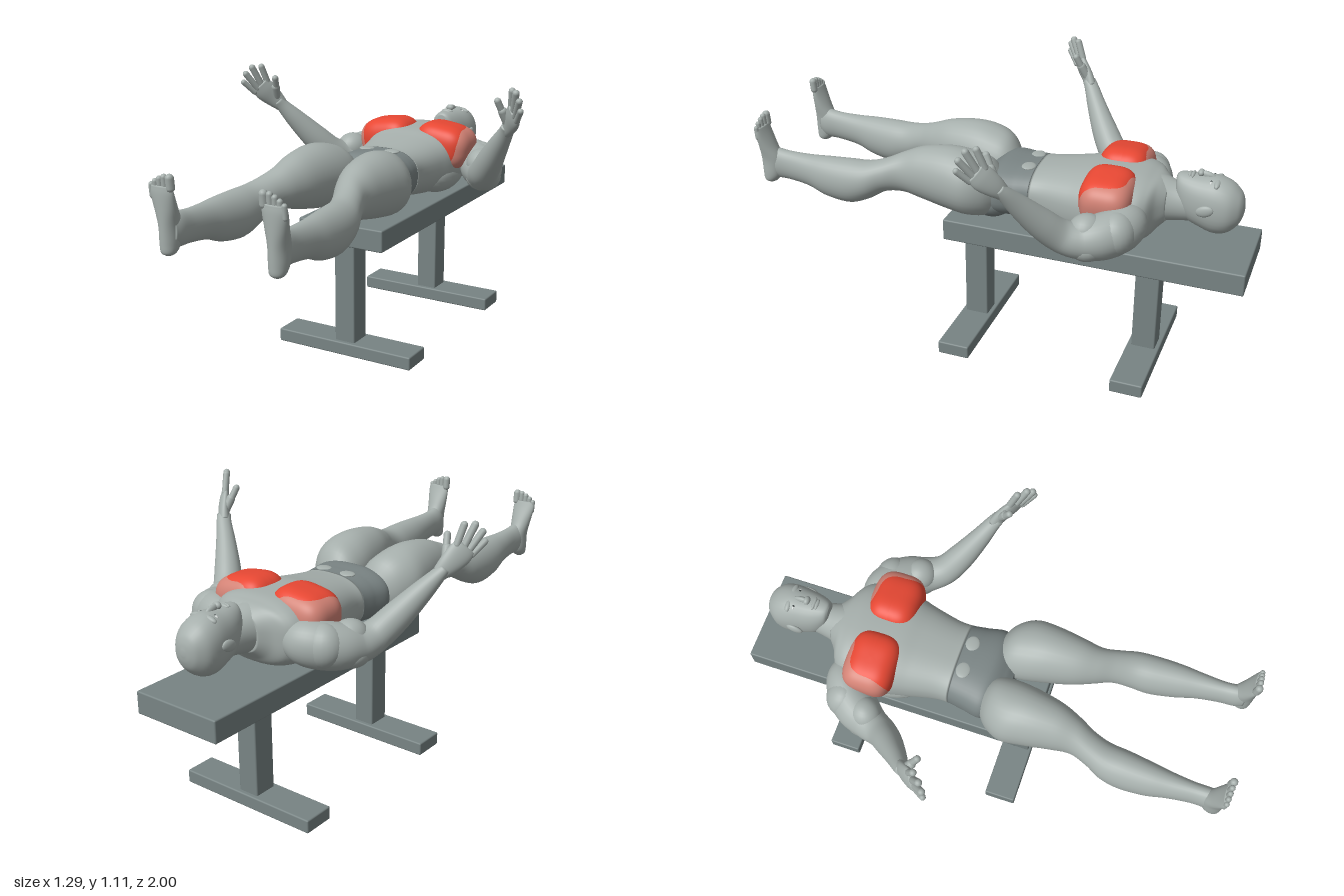
import * as THREE from 'three';
import { RoundedBoxGeometry } from 'three/addons/geometries/RoundedBoxGeometry.js';

const V = (x, y, z) => new THREE.Vector3(x, y, z);
const mat = (name, color) => Object.assign(new THREE.MeshStandardMaterial({ color }), { name });

export function createModel() {
  const skin = mat('skin grey', 0xa6afac);
  const benchGrey = mat('bench grey', 0x788484);
  const shortsGrey = mat('shorts grey', 0x7a8484);
  const red = mat('chest red', 0xee4a35);
  const pink = mat('chest pink', 0xd28275);
  const eyeWhite = mat('eye white', 0xd0d5d3);
  const eyeDark = mat('eye dark', 0x3a4242);

  const model = new THREE.Group();
  model.name = 'benchExercise';

  const add = (parent, name, geometry, material) => {
    const m = new THREE.Mesh(geometry, material);
    m.name = name;
    parent.add(m);
    return m;
  };

  // Smooth skin through elliptical sections [x, y, z, radiusSide, radiusUp]
  function loft(rows, { up = V(0, 1, 0), axis = null, from = 0, to = 1, power = 2, sides = 32 } = {}) {
    const path = new THREE.CatmullRomCurve3(rows.map(r => V(r[0], r[1], r[2])), false, 'catmullrom', 0.5);
    const size = new THREE.CatmullRomCurve3(rows.map(r => V(r[3], r[4], 0)), false, 'catmullrom', 0.5);
    const pos = [], index = [], steps = rows.length * 5;
    const bend = v => Math.sign(v) * Math.abs(v) ** (2 / power);
    for (let i = -1; i <= steps + 1; i++) {
      const t = from + (to - from) * THREE.MathUtils.clamp(i / steps, 0, 1);
      const c = path.getPoint(t), r = size.getPoint(t);
      const cap = i < 0 || i > steps ? 0 : 1;
      const tan = axis || path.getTangent(t);
      const side = V().crossVectors(up, tan).normalize();
      const rise = V().crossVectors(tan, side).normalize();
      for (let j = 0; j < sides; j++) {
        const a = j / sides * Math.PI * 2;
        const p = c.clone().addScaledVector(side, cap * r.x * bend(Math.cos(a)))
          .addScaledVector(rise, cap * r.y * bend(Math.sin(a)));
        pos.push(p.x, p.y, p.z);
      }
    }
    for (let i = 0; i < steps + 2; i++) for (let j = 0; j < sides; j++) {
      const k = (j + 1) % sides, a = i * sides, b = a + sides;
      index.push(a + j, a + k, b + k, a + j, b + k, b + j);
    }
    const g = new THREE.BufferGeometry();
    g.setAttribute('position', new THREE.Float32BufferAttribute(pos, 3));
    g.setIndex(index);
    g.computeVertexNormals();
    return g;
  }

  // Sections along increasing z, given as [z, centreX, halfWidth, top, bottom]
  const along = (rows, opt = {}) => loft(
    rows.map(([z, x, w, top, bot]) => [x, (top + bot) / 2, z, w, (top - bot) / 2]), { axis: V(0, 0, 1), ...opt });

  const blob = (parent, name, p, r, material = skin, rot = [0, 0, 0]) => {
    const m = add(parent, name, new THREE.SphereGeometry(1, 24, 16), material);
    m.position.set(...p);
    m.scale.set(...r);
    m.rotation.set(...rot);
  };
  const digit = (parent, name, a, b, r) => {
    const p = V(...a), q = V(...b), d = q.clone().sub(p);
    const m = add(parent, name, new THREE.CapsuleGeometry(r, d.length() - r, 5, 10), skin);
    m.position.copy(p.lerp(q, 0.5));
    m.quaternion.setFromUnitVectors(V(0, 1, 0), d.normalize());
  };

  // Bench
  const bench = new THREE.Group();
  bench.name = 'bench';
  model.add(bench);
  const box = (name, w, h, d, y, z) =>
    add(bench, name, new RoundedBoxGeometry(w, h, d, 2, 0.006), benchGrey).position.set(0, y, z);
  box('benchTop', 0.38, 0.09, 1.21, 0.52, -0.395);
  for (const z of [0.128, -0.605]) {
    box('benchPost', 0.09, 0.46, 0.098, 0.265, z);
    box('benchFoot', 0.615, 0.055, 0.132, 0.0275, z);
  }

  // Torso and shorts share one run of sections
  const body = new THREE.Group();
  body.name = 'figure';
  model.add(body);
  const trunk = [
    [-0.66, 0, 0.08, 0.80, 0.65], [-0.63, 0, 0.12, 0.82, 0.62], [-0.60, 0, 0.18, 0.83, 0.59],
    [-0.55, 0, 0.212, 0.84, 0.573], [-0.45, 0, 0.218, 0.84, 0.567], [-0.37, 0, 0.205, 0.837, 0.567],
    [-0.30, 0, 0.187, 0.825, 0.57], [-0.20, 0, 0.165, 0.81, 0.585], [-0.14, 0, 0.163, 0.803, 0.594],
    [-0.08, 0, 0.172, 0.803, 0.59], [0, 0, 0.183, 0.80, 0.59], [0.05, 0, 0.13, 0.77, 0.61], [0.08, 0, 0.05, 0.74, 0.64]];
  const waist = 8 / 12;
  add(body, 'torso', along(trunk, { to: waist, power: 2.5, sides: 48 }), skin);
  add(body, 'shorts', along(trunk, { from: waist, power: 2.5, sides: 48 }), shortsGrey);
  add(body, 'neck', along([[-0.76, 0, 0.058, 0.79, 0.66], [-0.69, 0, 0.07, 0.805, 0.65],
    [-0.64, 0, 0.085, 0.82, 0.64], [-0.59, 0, 0.11, 0.83, 0.63]]), skin);

  // Head, face up
  const head = new THREE.Group();
  head.name = 'head';
  body.add(head);
  add(head, 'skull', along([
    [-0.946, 0, 0.008, 0.75, 0.73], [-0.94, 0, 0.034, 0.78, 0.70], [-0.925, 0, 0.057, 0.808, 0.67],
    [-0.89, 0, 0.081, 0.838, 0.638], [-0.84, 0, 0.087, 0.855, 0.627], [-0.78, 0, 0.079, 0.853, 0.645],
    [-0.73, 0, 0.066, 0.853, 0.67], [-0.695, 0, 0.045, 0.85, 0.73], [-0.683, 0, 0.022, 0.84, 0.78]], { power: 2.2 }), skin);
  blob(head, 'noseBridge', [0, 0.854, -0.795], [0.011, 0.016, 0.034], skin, [-0.2, 0, 0]);
  blob(head, 'noseTip', [0, 0.861, -0.772], [0.018, 0.014, 0.013]);
  blob(head, 'upperLip', [0, 0.85, -0.743], [0.027, 0.009, 0.008]);
  blob(head, 'lowerLip', [0, 0.849, -0.731], [0.023, 0.009, 0.008]);

  // Squared, domed chest muscle
  const chest = new THREE.SphereGeometry(1, 64, 40);
  const p = chest.attributes.position;
  const square = (v, power) => Math.sign(v) * Math.abs(v) ** power;
  for (let i = 0; i < p.count; i++)
    p.setXYZ(i, square(p.getX(i), 0.62) * 0.12, square(p.getY(i), 0.8) * 0.092, square(p.getZ(i), 0.62) * 0.102);
  chest.computeVertexNormals();

  for (const s of [1, -1]) {
    const label = s > 0 ? 'left' : 'right';
    const half = new THREE.Group();
    half.name = label + 'Side';
    half.scale.x = s;
    body.add(half);

    // Face and ear
    blob(half, 'brow', [0.035, 0.84, -0.84], [0.027, 0.011, 0.012], skin, [0, 0, -0.25]);
    blob(half, 'eye', [0.034, 0.842, -0.817], [0.014, 0.007, 0.006], eyeWhite, [0, 0, -0.2]);
    blob(half, 'iris', [0.034, 0.846, -0.817], [0.005, 0.004, 0.005], eyeDark, [0, 0, -0.2]);
    blob(half, 'ear', [0.087, 0.745, -0.81], [0.011, 0.022, 0.034], skin, [0.3, 0, 0]);

    // Chest muscle with a faded upper outer rim
    [['chestMuscle', red, 0.13, 0.772, -0.452], ['chestFade', pink, 0.139, 0.767, -0.457]].forEach(([name, m, x, y, z]) => {
      const mesh = add(half, name, chest, m);
      mesh.position.set(x, y, z);
      mesh.rotation.z = -0.14;
    });
    blob(half, 'waistPatch', [0.057, 0.799, -0.108], [0.034, 0.007, 0.028]);
    blob(half, 'backMuscle', [0.125, 0.65, -0.42], [0.085, 0.08, 0.16]);

    // Arm
    add(half, 'arm', loft([
      [0.14, 0.71, -0.56, 0.05, 0.06], [0.20, 0.70, -0.55, 0.076, 0.085], [0.26, 0.69, -0.515, 0.084, 0.09],
      [0.305, 0.68, -0.46, 0.086, 0.086], [0.342, 0.678, -0.395, 0.07, 0.07], [0.372, 0.705, -0.335, 0.06, 0.062],
      [0.42, 0.77, -0.28, 0.053, 0.056], [0.48, 0.855, -0.222, 0.04, 0.042], [0.522, 0.915, -0.185, 0.031, 0.029],
      [0.54, 0.945, -0.165, 0.028, 0.022]]), skin);
    blob(half, 'frontArmMuscle', [0.315, 0.71, -0.425], [0.062, 0.065, 0.07], skin, [0, 0.65, 0]);
    blob(half, 'rearArmMuscle', [0.325, 0.655, -0.43], [0.075, 0.06, 0.072], skin, [0, 0.65, 0]);
    blob(half, 'shoulderMuscle', [0.272, 0.695, -0.525], [0.083, 0.085, 0.075]);

    // Hand with spread fingers
    const hand = new THREE.Group();
    hand.name = label + 'Hand';
    half.add(hand);
    add(hand, 'palm', loft([[0.525, 0.92, -0.18, 0.028, 0.022], [0.55, 0.955, -0.155, 0.04, 0.022],
      [0.573, 0.99, -0.125, 0.047, 0.02], [0.588, 1.018, -0.103, 0.042, 0.014]], { up: V(0.68, 0.17, -0.72) }), skin);
    digit(hand, 'indexFinger', [0.563, 1.02, -0.13], [0.577, 1.102, -0.10], 0.0135);
    digit(hand, 'middleFinger', [0.58, 1.01, -0.112], [0.605, 1.1, -0.07], 0.014);
    digit(hand, 'ringFinger', [0.593, 0.997, -0.10], [0.627, 1.073, -0.052], 0.0135);
    digit(hand, 'littleFinger', [0.602, 0.982, -0.092], [0.636, 1.036, -0.047], 0.012);
    digit(hand, 'thumbBase', [0.54, 0.955, -0.16], [0.525, 1.015, -0.13], 0.018);
    digit(hand, 'thumbTip', [0.525, 1.005, -0.135], [0.512, 1.056, -0.11], 0.0135);

    // Leg
    add(half, 'leg', along([
      [-0.02, 0.10, 0.05, 0.75, 0.64], [0.03, 0.117, 0.10, 0.825, 0.60], [0.10, 0.133, 0.122, 0.855, 0.595],
      [0.19, 0.137, 0.113, 0.866, 0.607], [0.30, 0.141, 0.092, 0.852, 0.63], [0.38, 0.152, 0.072, 0.822, 0.65],
      [0.45, 0.178, 0.066, 0.793, 0.652], [0.52, 0.199, 0.072, 0.776, 0.615], [0.60, 0.206, 0.074, 0.774, 0.588],
      [0.70, 0.212, 0.064, 0.771, 0.60], [0.78, 0.214, 0.05, 0.767, 0.63], [0.87, 0.215, 0.039, 0.768, 0.643],
      [0.93, 0.217, 0.038, 0.775, 0.645], [0.965, 0.22, 0.032, 0.77, 0.655]]), skin);
    blob(half, 'buttock', [0.095, 0.655, 0.03], [0.085, 0.075, 0.09], shortsGrey);

    // Foot, sole facing forward
    const foot = new THREE.Group();
    foot.name = label + 'Foot';
    half.add(foot);
    add(foot, 'footBody', loft([
      [0.225, 0.625, 0.965, 0.014, 0.014], [0.225, 0.637, 0.963, 0.028, 0.03], [0.225, 0.67, 0.953, 0.034, 0.043],
      [0.225, 0.73, 0.95, 0.036, 0.047], [0.227, 0.79, 0.964, 0.044, 0.034], [0.23, 0.845, 0.977, 0.05, 0.021],
      [0.231, 0.875, 0.982, 0.046, 0.013]], { up: V(0, 0, 1), axis: V(0, 1, 0) }), skin);
    [[0.19, 0.913, 0.0155], [0.214, 0.912, 0.0115], [0.234, 0.904, 0.011], [0.253, 0.893, 0.0105], [0.27, 0.88, 0.01]]
      .forEach(([x, y, r]) => digit(foot, 'toe', [x, y - 0.05, 0.98], [x, y, 0.984], r));
  }
  return model;
}
